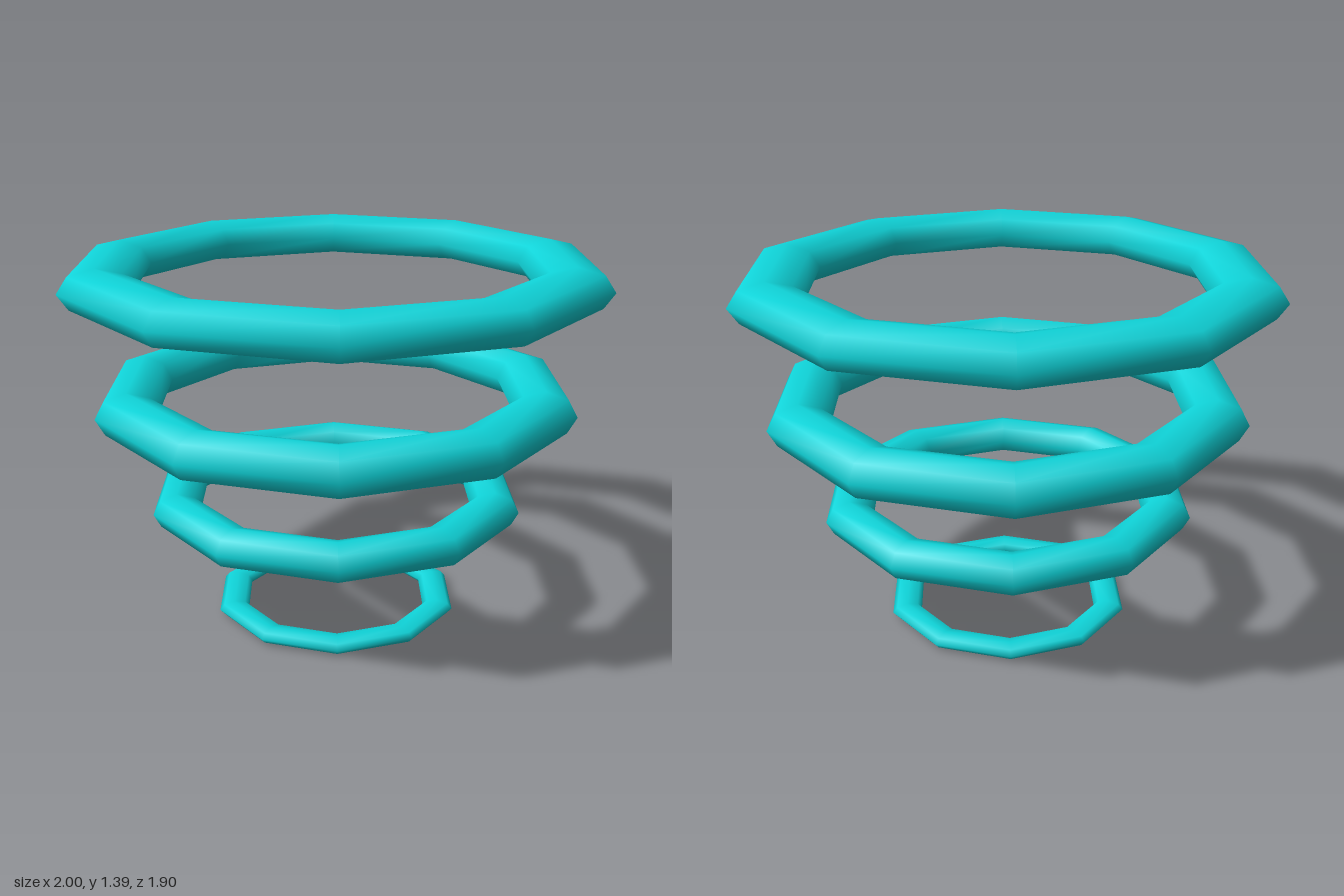
import * as THREE from 'three';

// Each ring: name, radius of the centre line, tube half-width, tube half-height, centre height
const RINGS = [
  ['bottomRing', 0.413, 0.058, 0.0275, 0.0275],
  ['lowerRing', 0.62, 0.09, 0.07, 0.46],
  ['upperRing', 0.785, 0.115, 0.087, 0.852],
  ['topRing', 0.867, 0.133, 0.081, 1.31],
];

export function createModel() {
  const model = new THREE.Group();
  model.name = 'floatingRings';
  const material = new THREE.MeshStandardMaterial({ color: 0x0fd3d8 });

  // Ten-sided rings with a flattened eight-sided tube
  for (const [name, radius, halfWidth, halfHeight, y] of RINGS) {
    const geometry = new THREE.TorusGeometry(radius, halfWidth, 8, 10);
    geometry.rotateX(Math.PI / 2);
    geometry.scale(1, halfHeight / halfWidth, 1);
    const ring = new THREE.Mesh(geometry, material);
    ring.name = name;
    ring.position.y = y;
    model.add(ring);
  }
  return model;
}
